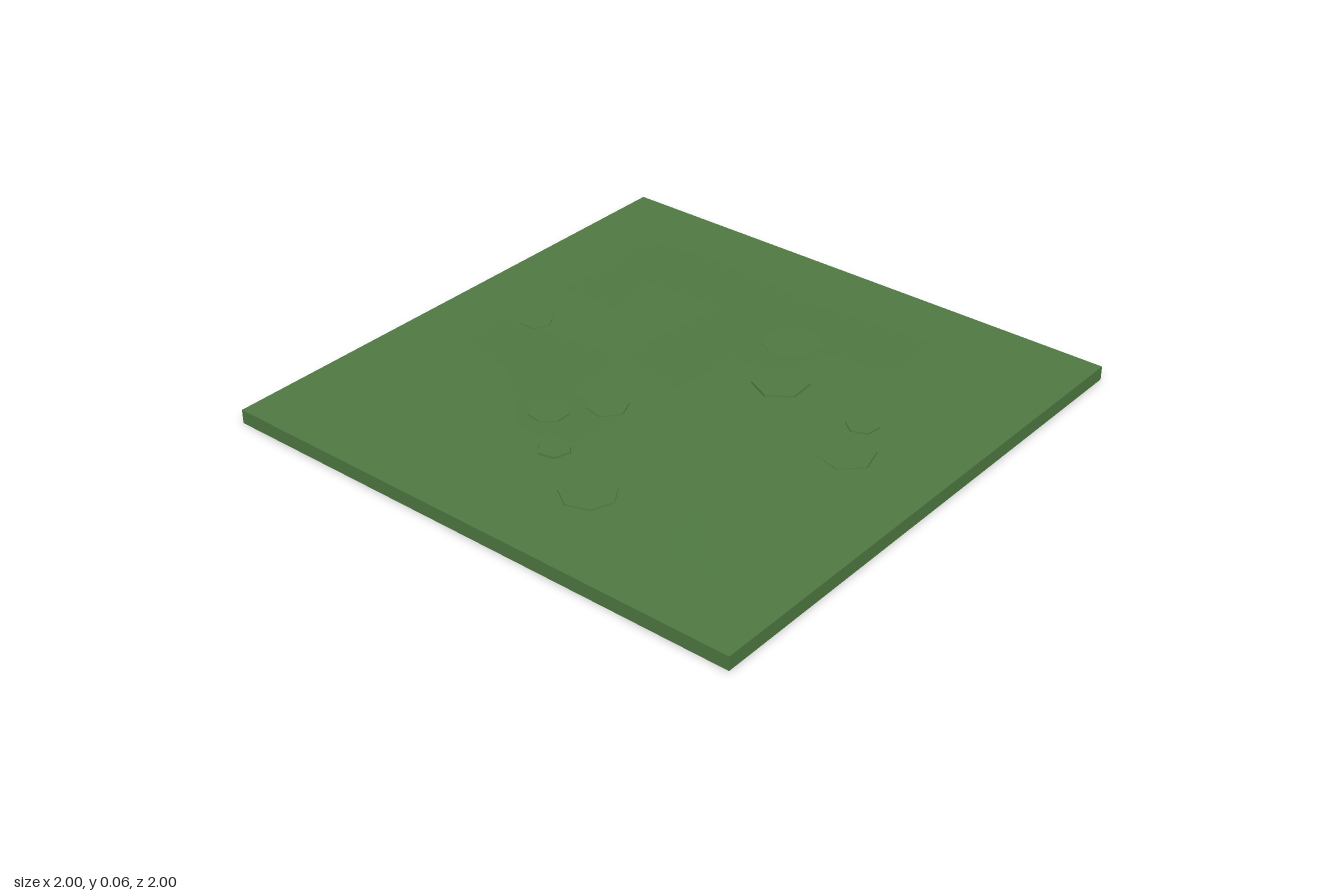
import * as THREE from 'three';

const TOP = 0.05;

// Bump heights (thousandths) at the inner 7 x 7 ground points, back row first
const BUMPS = [
  [0, 0, 1, 0, 0, 0, 0],
  [0, 3, 5, 3, 9, 11, 0],
  [0, 8, 6, 7, 4, 4, 0],
  [1, 9, 5, 8, 7, 5, 1],
  [0, 5, 9, 6, 10, 7, 0],
  [0, 9, 6, 9, 5, 8, 0],
  [0, 0, 2, 1, 3, 0, 0],
];

// Low patches: x, z, radius, top height, sides, turn
const PATCHES = [
  [-0.54, -0.06, 0.06, 0.064, 6, 0.2],
  [-0.39, -0.22, 0.07, 0.061, 7, 0.5],
  [-0.24, -0.10, 0.075, 0.059, 6, 0.9],
  [0.22, 0.25, 0.10, 0.065, 6, 0.6],
  [-0.65, 0.18, 0.10, 0.056, 7, 0.1],
  [0.46, 0.12, 0.11, 0.058, 7, 0.3],
  [0.02, 0.66, 0.10, 0.057, 6, 0.8],
  [0.19, 0.60, 0.06, 0.059, 6, 0.4],
  [0.03, -0.66, 0.06, 0.054, 6, 0.0],
];

export function createModel() {
  const group = new THREE.Group();
  group.name = 'grassTile';
  const grass = new THREE.MeshStandardMaterial({
    color: 0x4f7942, flatShading: true, side: THREE.DoubleSide,
  });
  grass.name = 'grassGreen';

  const add = (geometry, name) => {
    const mesh = new THREE.Mesh(geometry, grass);
    mesh.name = name;
    group.add(mesh);
    return mesh;
  };

  // Uneven faceted ground, flat along its border
  const ground = new THREE.PlaneGeometry(2, 2, 8, 8).rotateX(-Math.PI / 2);
  const p = ground.attributes.position;
  for (let i = 0; i < p.count; i++) {
    const col = i % 9, row = Math.floor(i / 9);
    const inner = col > 0 && col < 8 && row > 0 && row < 8;
    const bump = inner ? BUMPS[row - 1][col - 1] / 1000 : 0;
    const shift = inner ? 0.025 : 0;
    p.setXYZ(i, p.getX(i) + shift * Math.sin(i * 2.3), TOP + bump, p.getZ(i) + shift * Math.cos(i * 1.7));
  }
  ground.computeVertexNormals();
  add(ground, 'ground');

  // Four side walls; the underside is open
  for (let i = 0; i < 4; i++) {
    const wall = new THREE.PlaneGeometry(2, TOP).translate(0, TOP / 2, 1).rotateY(i * Math.PI / 2);
    add(wall, 'sideWall');
  }

  // Flat polygonal patches sunk into the ground
  for (const [x, z, r, top, sides, turn] of PATCHES) {
    const h = 0.02;
    const patch = add(new THREE.CylinderGeometry(r * 0.96, r, h, sides), 'grassPatch');
    patch.position.set(x, top - h / 2, z);
    patch.rotation.y = turn;
  }
  return group;
}
